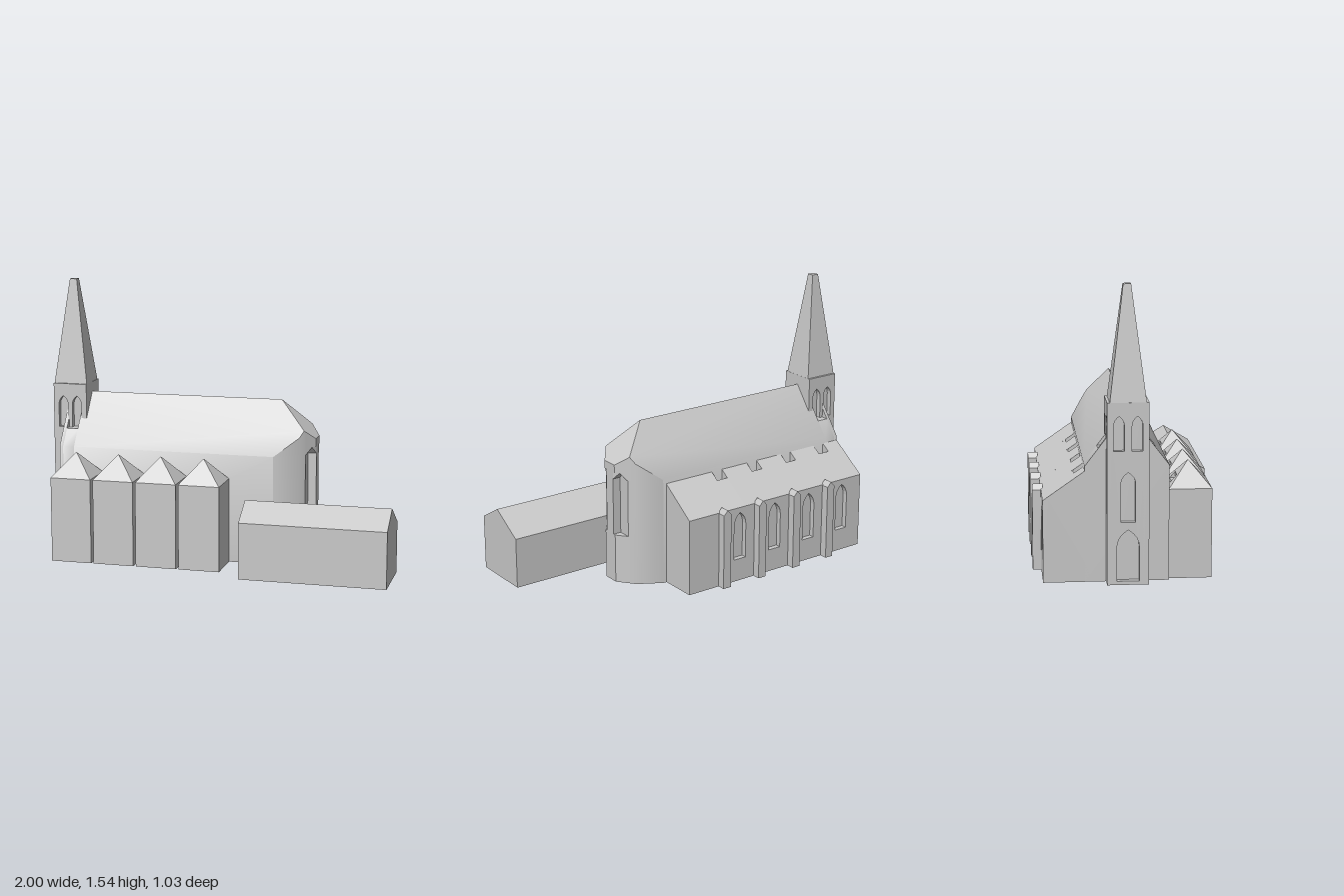
import * as THREE from 'three';
import { toCreasedNormals } from 'three/addons/utils/BufferGeometryUtils.js';
import { ConvexGeometry } from 'three/addons/geometries/ConvexGeometry.js';

const stone = new THREE.MeshStandardMaterial({ color: 0xc8c8c8 });
stone.name = 'pale stone';

const CZ = -0.0375;          // centre line of nave and tower
const EAVE = 0.61, RIDGE = 0.895, HALF = 0.2175;
const CREASE = 0.66;
const BAYS = [-0.79, -0.545, -0.3, -0.055];
const roofY = h => EAVE + (RIDGE - EAVE) * (1 - h / HALF);

export function createModel() {
  const model = new THREE.Group();
  model.name = 'church';

  function add(name, geometry, parent = model) {
    const mesh = new THREE.Mesh(geometry, stone);
    mesh.name = name;
    parent.add(mesh);
    return mesh;
  }
  const hull = pts => new ConvexGeometry(pts.map(p => new THREE.Vector3(...p)));

  function box(name, x0, x1, y0, y1, z0, z1) {
    const g = new THREE.BoxGeometry(x1 - x0, y1 - y0, z1 - z0);
    g.translate((x0 + x1) / 2, (y0 + y1) / 2, (z0 + z1) / 2);
    return add(name, g);
  }

  // Cross-section given as [z, y] points, run along x
  function run(x0, x1, section) {
    const shape = new THREE.Shape(section.map(([z, y]) => new THREE.Vector2(-z, y)));
    const g = new THREE.ExtrudeGeometry(shape, { depth: x1 - x0, bevelEnabled: false });
    return g.rotateY(Math.PI / 2).translate(x0, 0, 0);
  }

  // Wall with pointed openings [x, width, sill, spring, apex]; outer face at local z = 0
  function panel(width, height, openings, depth) {
    const w = width / 2;
    const shape = new THREE.Shape([[-w, 0], [w, 0], [w, height], [-w, height]].map(p => new THREE.Vector2(...p)));
    for (const [x, ow, sill, spring, apex] of openings) {
      const o = ow / 2, mid = spring + (apex - spring) * 0.6;
      const hole = new THREE.Path();
      hole.moveTo(x - o, sill);
      hole.lineTo(x + o, sill);
      hole.lineTo(x + o, spring);
      hole.quadraticCurveTo(x + o, mid, x, apex);
      hole.quadraticCurveTo(x - o, mid, x - o, spring);
      hole.closePath();
      shape.holes.push(hole);
    }
    return new THREE.ExtrudeGeometry(shape, { depth, bevelEnabled: false, curveSegments: 4 }).translate(0, 0, -depth);
  }

  // Nave: straight body whose roof is hipped over a faceted east end
  const nave = [];
  for (const s of [-1, 1]) {
    for (const [x, h] of [[-0.845, HALF], [0.31, HALF], [0.44, 0.1425]]) {
      nave.push([x, 0, CZ + s * h], [x, roofY(h), CZ + s * h]);
    }
    nave.push([0.468, 0, CZ + s * 0.1075], [0.461, 0.744, CZ + s * 0.116], [0.468, 0.737, CZ + s * 0.1075]);
  }
  nave.push([-0.845, RIDGE, CZ], [0.31, RIDGE, CZ]);
  add('nave', toCreasedNormals(hull(nave), CREASE));

  // West bays of the nave, one cut away beside the belfry openings
  const gable = [[CZ + HALF, 0], [CZ + HALF, EAVE], [CZ, RIDGE], [CZ - HALF, EAVE], [CZ - HALF, 0]];
  add('naveWestEnd', toCreasedNormals(run(-0.93, -0.91, gable), CREASE));
  const slotH = HALF * (1 - (0.7 - EAVE) / (RIDGE - EAVE));
  const half = [[HALF, 0], [HALF, EAVE], [slotH, 0.7], [0.07, 0.7], [0.07, roofY(0.07)]];
  const slotted = [
    ...half.map(([h, y]) => [CZ + h, y]), [CZ, RIDGE],
    ...half.slice().reverse().map(([h, y]) => [CZ - h, y])];
  add('naveSlottedBay', toCreasedNormals(run(-0.91, -0.845, slotted), CREASE));

  // Apse front, built around its two tall windows
  const slab = (name, y0, yBack, yFront) => add(name, hull([-1, 1].flatMap(s => [
    [0.468, y0, CZ + s * 0.1075], [0.515, y0, CZ + s * 0.0475],
    [0.468, yBack, CZ + s * 0.1075], [0.515, yFront, CZ + s * 0.0475]])));
  slab('apseBase', 0, 0.28, 0.28);
  slab('apseTop', 0.645, 0.737, 0.69);
  box('apsePier', 0.46, 0.515, 0.28, 0.645, CZ - 0.0325, CZ + 0.0325);
  for (const s of [-1, 1]) {
    const inner = CZ + s * 0.0325, mid = CZ + s * 0.07, outer = CZ + s * 0.1075;
    add('apseArchInner', hull([
      [0.466, 0.605, inner], [0.515, 0.605, inner], [0.466, 0.645, inner],
      [0.515, 0.645, inner], [0.466, 0.645, mid], [0.497, 0.645, mid]]));
    add('apseArchOuter', hull([
      [0.466, 0.605, outer], [0.468, 0.605, outer], [0.468, 0.645, outer],
      [0.466, 0.645, mid], [0.497, 0.645, mid]]));
  }

  // Tower: core faced with pierced walls on the three open sides
  const tw = 0.195, td = 0.215, tx = -0.9025, th = 0.95;
  box('towerCore', -0.97, -0.805, 0, th, CZ - 0.0775, CZ + 0.0775);
  const belfry = off => [-1, 1].map(s => [s * off, 0.055, 0.7, 0.83, 0.88]);
  for (const s of [-1, 1]) {
    const side = add('towerSideWall', panel(tw, th, belfry(0.04), 0.03));
    side.position.set(tx, 0, CZ + s * td / 2);
    side.rotation.y = s > 0 ? 0 : Math.PI;
  }
  const west = add('towerWestWall', panel(td, th, [
    ...belfry(0.047), [0, 0.075, 0.33, 0.53, 0.59], [0, 0.115, 0.02, 0.2, 0.29]], 0.03));
  west.position.set(-1, 0, CZ);
  west.rotation.y = -Math.PI / 2;

  // Spire: slim blunt pyramid
  const spire = [];
  for (const sx of [-1, 1]) for (const sz of [-1, 1]) {
    spire.push([tx + sx * 0.0965, th, CZ + sz * 0.0935], [tx + sx * 0.02, 1.54, CZ + sz * 0.02]);
  }
  add('spire', hull(spire));

  // North aisle: lean-to with slots in its roof below the clerestory
  const plain = [[-0.2, 0], [-0.44, 0], [-0.44, 0.435], [-0.47, 0.435], [-0.255, 0.585], [-0.2, 0.585]];
  const notched = [[-0.2, 0], [-0.44, 0], [-0.44, 0.435], [-0.47, 0.435], [-0.305, 0.55], [-0.305, 0.5], [-0.2, 0.5]];
  let from = -0.93;
  for (const x of BAYS) {
    add('aisleRoofBay', run(from, x - 0.035, plain));
    add('aisleSlotBay', run(x - 0.035, x + 0.035, notched));
    from = x + 0.035;
  }
  add('aisleRoofBay', run(from, 0.29, plain));
  const aisleX = (-0.93 + 0.29) / 2;
  const aisle = add('aisleWall', panel(1.22, 0.435,
    BAYS.map(x => [aisleX - x, 0.08, 0.13, 0.33, 0.405]), 0.03));
  aisle.position.set(aisleX, 0, -0.47);
  aisle.rotation.y = Math.PI;

  // Buttresses with small gabled caps
  for (const x of [-0.67, -0.425, -0.18, 0.065]) {
    const pts = [];
    for (const z of [-0.515, -0.46]) {
      pts.push([x - 0.025, 0, z], [x + 0.025, 0, z], [x - 0.025, 0.432, z], [x + 0.025, 0.432, z], [x, 0.46, z]);
    }
    add('buttress', hull(pts));
  }

  // South chapels under pyramid roofs, each slotted at the back
  for (const x of BAYS) {
    const w = 0.115, e = 0.475;
    box('chapelWalls', x - w, x + w, 0, e, 0.17, 0.405);
    const t = 0.05 / 0.112, y = e + 0.13 * t, hw = w * (1 - t);
    add('chapelRoofFront', hull([
      [x - w, e, 0.405], [x + w, e, 0.405], [x - w, e, 0.23], [x + w, e, 0.23],
      [x - hw, y, 0.23], [x + hw, y, 0.23], [x, e + 0.13, 0.292]]));
    for (const s of [-1, 1]) {
      add('chapelRoofBack', hull([
        [x + s * w, e, 0.18], [x + s * 0.035, e, 0.18], [x + s * w, e, 0.23],
        [x + s * 0.035, e, 0.23], [x + s * 0.035, y, 0.23], [x + s * hw, y, 0.23]]));
    }
    add('chapelRoofSlot', hull([-0.035, 0.035].flatMap(d => [
      [x + d, e, 0.18], [x + d, 0.5, 0.2], [x + d, 0.5, 0.23], [x + d, e, 0.23]])));
  }

  // Low gabled annex to the south-east
  add('annex', run(0.195, 1, [[0.165, 0], [0.165, 0.288], [0.36, 0.403], [0.515, 0.312], [0.515, 0]]));

  return model;
}
